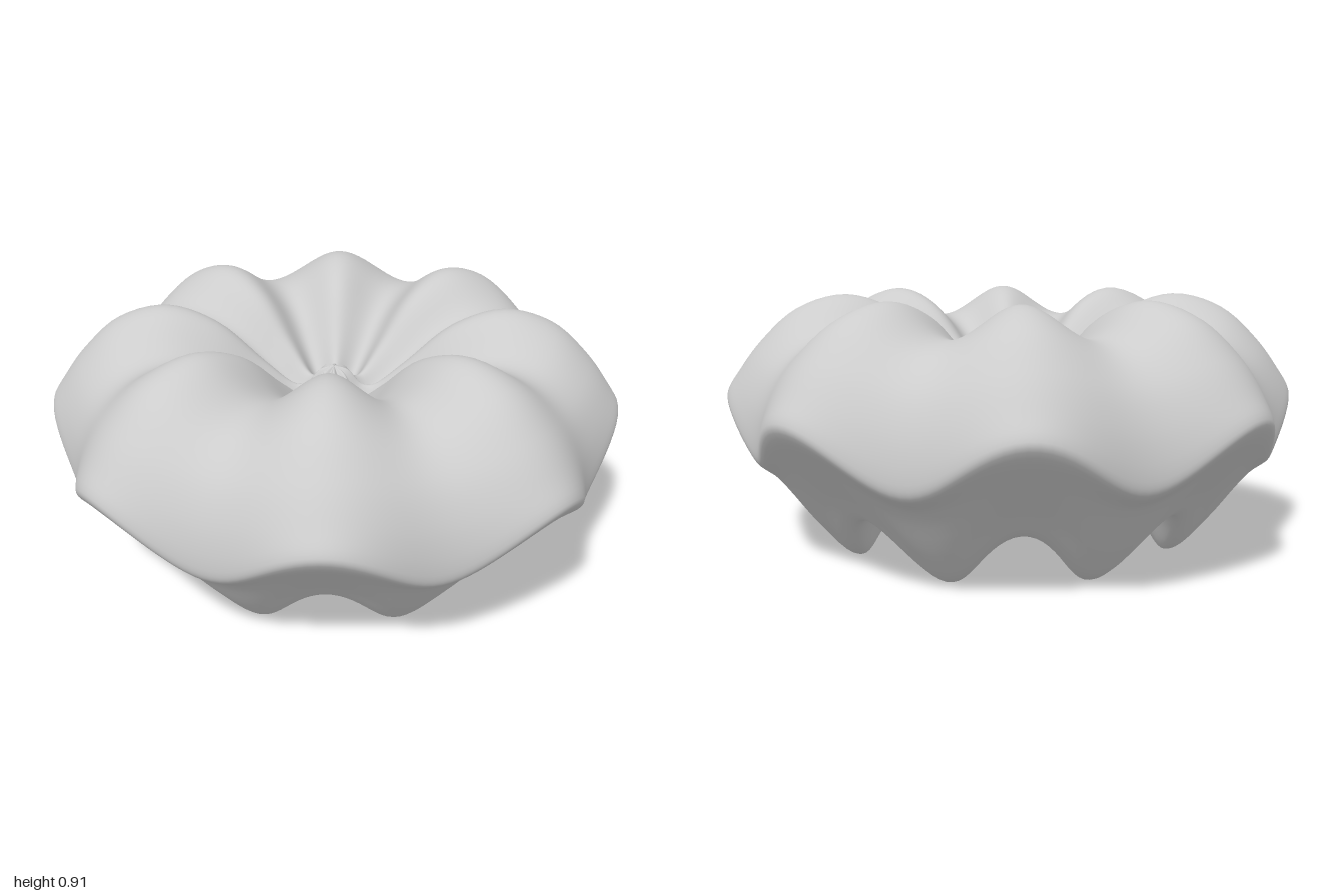
import * as THREE from 'three';

const LOBES = 8;
const LOBE_ANGLE = THREE.MathUtils.degToRad(29.5);

// Profile pairs from the top centre, over the rim, to the centre of the hollow base:
// [radius, height on a lobe, radius, height in a valley]
const PROFILE = [
  [0, 0.69, 0, 0.69],
  [0.05, 0.675, 0.045, 0.66],
  [0.10, 0.62, 0.09, 0.58],
  [0.14, 0.615, 0.14, 0.56],
  [0.25, 0.70, 0.25, 0.63],
  [0.42, 0.85, 0.42, 0.745],
  [0.60, 0.91, 0.58, 0.795],
  [0.78, 0.86, 0.74, 0.77],
  [0.91, 0.745, 0.86, 0.68],
  [0.99, 0.64, 0.93, 0.55],
  [1.035, 0.565, 0.955, 0.41],
  [1.03, 0.535, 0.945, 0.365],
  [0.93, 0.42, 0.88, 0.31],
  [0.81, 0.30, 0.74, 0.13],
  [0.72, 0.205, 0.63, 0.015],
  [0.69, 0.20, 0.58, 0.005],
  [0.62, 0.225, 0.52, 0.08],
  [0.50, 0.25, 0.44, 0.20],
  [0.25, 0.29, 0.25, 0.28],
  [0, 0.30, 0, 0.30],
];

function profileCurve(offset) {
  const points = PROFILE.map((p) => new THREE.Vector3(p[offset], p[offset + 1], 0));
  return new THREE.CatmullRomCurve3(points, false, 'centripetal');
}

// Sweep round the axis, blending between the lobe and valley profiles
function lobedGeometry(rings, segments) {
  const lobe = profileCurve(0);
  const valley = profileCurve(2);
  const positions = [];
  const indices = [];
  for (let i = 0; i <= rings; i++) {
    const a = lobe.getPoint(i / rings);
    const b = valley.getPoint(i / rings);
    for (let j = 0; j < segments; j++) {
      const angle = (j / segments) * Math.PI * 2;
      const blend = 0.5 + 0.5 * Math.cos(LOBES * (angle - LOBE_ANGLE));
      const p = b.clone().lerp(a, blend);
      positions.push(p.x * Math.cos(angle), Math.max(0, p.y), p.x * Math.sin(angle));
    }
  }
  for (let i = 0; i < rings; i++) {
    for (let j = 0; j < segments; j++) {
      const next = (j + 1) % segments;
      const a = i * segments + j;
      const b = a + segments;
      const c = i * segments + next;
      const d = c + segments;
      if (i > 0) indices.push(a, c, b);
      if (i < rings - 1) indices.push(c, d, b);
    }
  }
  const geometry = new THREE.BufferGeometry();
  geometry.setAttribute('position', new THREE.Float32BufferAttribute(positions, 3));
  geometry.setIndex(indices);
  geometry.computeVertexNormals();
  return geometry;
}

export function createModel() {
  const group = new THREE.Group();
  group.name = 'lobedForm';

  const grey = new THREE.MeshStandardMaterial({ color: 0xcccccc, side: THREE.DoubleSide });
  grey.name = 'light grey';

  // Ribbed shell with a dimpled top and a hollow, scalloped base
  const shell = new THREE.Mesh(lobedGeometry(95, 192), grey);
  shell.name = 'lobedShell';
  group.add(shell);
  return group;
}
